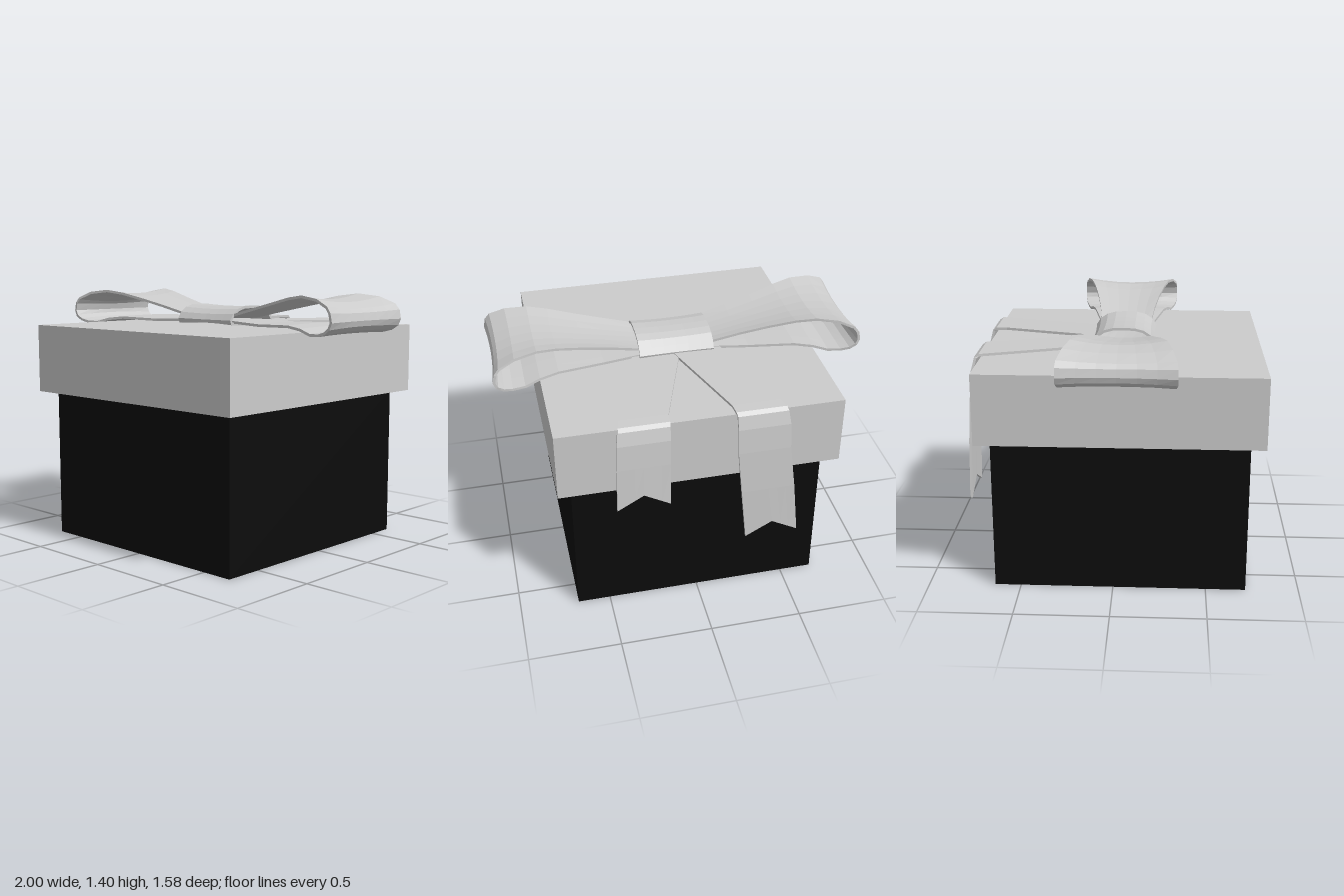
import * as THREE from 'three';

const grey = new THREE.MeshStandardMaterial({ color: 0xcccccc, flatShading: true });
const black = new THREE.MeshStandardMaterial({ color: 0x0c0c0c, flatShading: true });

// Thick ribbon. Each path row: [x, y, zLow, zHigh, sag]; x/y trace the outer face,
// sag presses the middle of the strip inward, notch cuts a swallowtail in the end.
function ribbon(name, path, { closed = false, thick = 0.014, notch = 0, across = 6 } = {}) {
  const n = path.length;
  const rings = path.map(([x, y, lo, hi, sag = 0], i) => {
    const p = path[closed ? (i + n - 1) % n : Math.max(i - 1, 0)];
    const q = path[closed ? (i + 1) % n : Math.min(i + 1, n - 1)];
    const normal = new THREE.Vector2(p[1] - q[1], q[0] - p[0]).normalize();
    const row = (depth) => Array.from({ length: across + 1 }, (_, j) => {
      const u = (2 * j) / across - 1;
      const d = depth + sag * (1 - u * u);
      const cut = i === n - 1 ? notch * (1 - Math.abs(u)) : 0;
      return [x - normal.x * d, y - normal.y * d + cut, lo + (hi - lo) * (j / across)];
    });
    return [...row(0), ...row(thick).reverse()];
  });

  const pos = [];
  const quad = (a, b, c, d) => pos.push(...a, ...b, ...c, ...a, ...c, ...d);
  const m = rings[0].length;
  for (let i = 0; i < (closed ? n : n - 1); i++) {
    const r = rings[i], s = rings[(i + 1) % n];
    for (let j = 0; j < m; j++) {
      const k = (j + 1) % m;
      quad(r[j], r[k], s[k], s[j]);
    }
  }
  // End caps
  if (!closed) {
    const first = rings[0], last = rings[n - 1];
    for (let j = 0; j < across; j++) {
      quad(first[j], first[m - 1 - j], first[m - 2 - j], first[j + 1]);
      quad(last[j], last[j + 1], last[m - 2 - j], last[m - 1 - j]);
    }
  }
  const geo = new THREE.BufferGeometry();
  geo.setAttribute('position', new THREE.Float32BufferAttribute(pos, 3));
  geo.computeVertexNormals();
  const mesh = new THREE.Mesh(geo, grey);
  mesh.name = name;
  return mesh;
}

function box(name, size, height, bottom, material) {
  const mesh = new THREE.Mesh(new THREE.BoxGeometry(size, height, size), material);
  mesh.name = name;
  mesh.position.set(0, bottom + height / 2, 0.037);
  return mesh;
}

export function createModel() {
  const model = new THREE.Group();
  model.name = 'giftBox';
  model.add(box('boxBase', 1.355, 0.83, 0, black));
  model.add(box('lid', 1.505, 0.38, 0.83, grey));

  const bow = new THREE.Group();
  bow.name = 'bow';
  bow.position.z = 0.035;
  model.add(bow);

  // Bow loops: x, y, half width, sag
  const loop = [
    [0, 1.265, 0.12, 0.005], [0.2, 1.282, 0.145, 0.012], [0.35, 1.318, 0.16, 0.018],
    [0.5, 1.352, 0.182, 0.022], [0.65, 1.385, 0.213, 0.025], [0.76, 1.399, 0.24, 0.025],
    [0.88, 1.385, 0.268, 0.024], [0.965, 1.35, 0.29, 0.02], [0.99, 1.318, 0.295, 0.018],
    [1.0, 1.27, 0.295, 0.016], [0.985, 1.235, 0.295, 0.012], [0.95, 1.21, 0.288, 0.01],
    [0.9, 1.197, 0.275, 0.006], [0.83, 1.195, 0.258, 0.005], [0.75, 1.217, 0.238, 0.004],
    [0.65, 1.228, 0.213, 0.004], [0.4, 1.222, 0.167, 0.004], [0.2, 1.23, 0.145, 0.004],
    [0, 1.23, 0.12, 0.004],
  ].map(([x, y, w, sag]) => [x, y, -w, w, sag]);
  for (const [name, turn] of [['leftLoop', 0], ['rightLoop', Math.PI]]) {
    const mesh = ribbon(name, loop);
    mesh.rotation.y = turn;
    bow.add(mesh);
  }

  // Knot band wrapped around the middle
  const half = [[0, 1.325], [0.06, 1.323], [0.11, 1.31], [0.15, 1.283], [0.174, 1.248], [0.165, 1.222], [0, 1.214]];
  const knotPath = [...half, ...half.slice(1, -1).reverse().map(([x, y]) => [-x, y])]
    .map(([x, y]) => [x, y, -0.205, 0.205, 0.007]);
  const knot = ribbon('knot', knotPath, { closed: true });
  knot.rotation.y = Math.PI / 2;
  bow.add(knot);

  // Tails run back over the lid and hang down: distance back, y, inner x, outer x
  const over = [
    [-0.03, 1.238, -0.06, 0.2], [0.115, 1.236, -0.02, 0.245], [0.4, 1.232, 0.077, 0.335],
    [0.665, 1.229, 0.165, 0.42], [0.725, 1.227, 0.17, 0.435], [0.747, 1.212, 0.173, 0.44],
    [0.766, 1.14, 0.175, 0.45], [0.777, 1.0, 0.177, 0.455],
  ];
  const shortTail = [...over, [0.788, 0.75, 0.18, 0.46]];
  const longTail = [...over, [0.786, 0.75, 0.2, 0.487], [0.788, 0.44, 0.232, 0.52]]
    .map(([a, y, inner, outer]) => [a, y + 0.003, -outer, -inner]);
  for (const [name, path] of [['leftTail', shortTail], ['rightTail', longTail]]) {
    const mesh = ribbon(name, path, { notch: 0.08 });
    mesh.rotation.y = Math.PI / 2;
    model.add(mesh);
  }
  return model;
}
